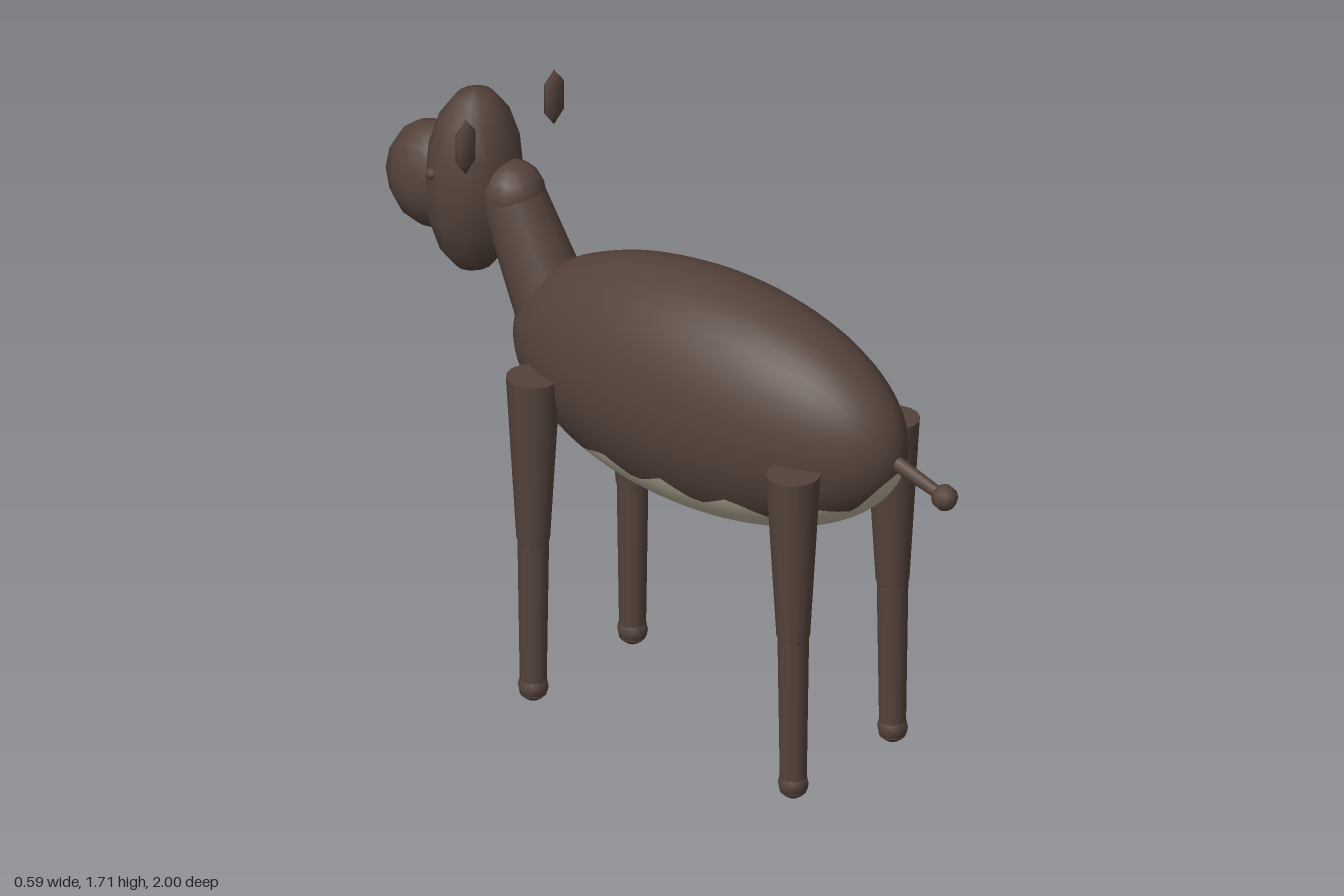
import * as THREE from 'three';
import { ParametricGeometry } from 'three/addons/geometries/ParametricGeometry.js';

const brown = new THREE.MeshStandardMaterial({ color: 0x54423a });
brown.name = 'dark brown coat';
const cream = new THREE.MeshStandardMaterial({ color: 0xc0b5a0 });
cream.name = 'cream belly';

function add(parent, name, geometry, material = brown) {
  const mesh = new THREE.Mesh(geometry, material);
  mesh.name = name;
  parent.add(mesh);
  return mesh;
}

function ellipsoid(parent, name, [x, y, z], [rx, ry, rz], w = 12, h = 8) {
  const mesh = add(parent, name, new THREE.SphereGeometry(1, w, h));
  mesh.position.set(x, y, z);
  mesh.scale.set(rx, ry, rz);
  return mesh;
}

// Tapered cylinder between two points
function limb(parent, name, from, to, rFrom, rTo, segments = 16) {
  const a = new THREE.Vector3(...from), b = new THREE.Vector3(...to);
  const dir = b.clone().sub(a);
  const mesh = add(parent, name, new THREE.CylinderGeometry(rTo, rFrom, dir.length(), segments));
  mesh.position.copy(a).add(b).multiplyScalar(0.5);
  mesh.quaternion.setFromUnitVectors(new THREE.Vector3(0, 1, 0), dir.normalize());
  return mesh;
}

// Half of the trunk ellipsoid, above or below a toothed colour line
const R = [0.265, 0.355, 0.67];
function trunkShell(lower) {
  const geo = new ParametricGeometry((u, v, target) => {
    const theta = 0.001 + v * (Math.PI - 0.002);
    const s = Math.sin(theta), t = Math.cos(theta);
    const phase = (t * R[2] / 0.225) - Math.floor(t * R[2] / 0.225);
    const tooth = Math.abs(phase - 0.5) * 4 - 1;
    const line = -0.217 + 0.15 * t ** 4 + 0.027 * tooth;
    const edge = Math.acos(Math.max(-1, Math.min(1, line / (R[1] * s))));
    const phi = lower ? edge + u * 2 * (Math.PI - edge) : (2 * u - 1) * edge;
    target.set(R[0] * s * Math.sin(phi), R[1] * s * Math.cos(phi), R[2] * t);
  }, 28, 48);
  // Exact ellipsoid normals keep the seam smooth
  const p = geo.attributes.position, n = new THREE.Vector3();
  for (let i = 0; i < p.count; i++) {
    n.set(p.getX(i) / R[0] ** 2, p.getY(i) / R[1] ** 2, p.getZ(i) / R[2] ** 2).normalize();
    geo.attributes.normal.setXYZ(i, n.x, n.y, n.z);
  }
  return geo.translate(0, 1.03, 0.13);
}

export function createModel() {
  const model = new THREE.Group();
  model.name = 'animal';

  add(model, 'body', trunkShell(false));
  add(model, 'belly', trunkShell(true), cream);

  // Neck and head, facing -z
  limb(model, 'neck', [0, 0.99, -0.37], [0, 1.41, -0.58], 0.12, 0.09);
  ellipsoid(model, 'neckJoint', [0, 1.41, -0.575], [0.092, 0.092, 0.092], 16, 10);
  ellipsoid(model, 'head', [0, 1.408, -0.71], [0.153, 0.282, 0.132], 12, 8);
  ellipsoid(model, 'muzzle', [0, 1.375, -0.86], [0.112, 0.158, 0.14], 12, 8)
    .rotation.x = 0;

  // Ears and eyes
  for (const side of [1, -1]) {
    const label = side > 0 ? 'left' : 'right';
    ellipsoid(model, label + 'Ear', [side * 0.193, 1.623, -0.585], [0.043, 0.085, 0.023], 8, 3);
    ellipsoid(model, label + 'Eye', [side * 0.134, 1.46, -0.755], [0.017, 0.017, 0.017], 8, 6);
  }

  // Legs
  for (const [end, z] of [['front', -0.325], ['rear', 0.6]]) {
    for (const side of [1, -1]) {
      const leg = new THREE.Group();
      leg.name = end + (side > 0 ? 'Left' : 'Right') + 'Leg';
      leg.position.set(side * 0.217, 0, z);
      limb(leg, 'upperLeg', [0, 0.505, 0], [0, 1.005, 0], 0.047, 0.076);
      ellipsoid(leg, 'knee', [0, 0.505, 0], [0.046, 0.046, 0.046]);
      limb(leg, 'lowerLeg', [0, 0.02, 0], [0, 0.505, 0], 0.037, 0.044);
      ellipsoid(leg, 'foot', [0, 0.045, 0], [0.043, 0.045, 0.043]);
      model.add(leg);
    }
  }

  // Tail
  limb(model, 'tail', [0, 1.035, 0.72], [0, 0.965, 0.955], 0.024, 0.017, 10);
  ellipsoid(model, 'tailTip', [0, 0.963, 0.962], [0.038, 0.038, 0.038], 8, 6);

  return model;
}
